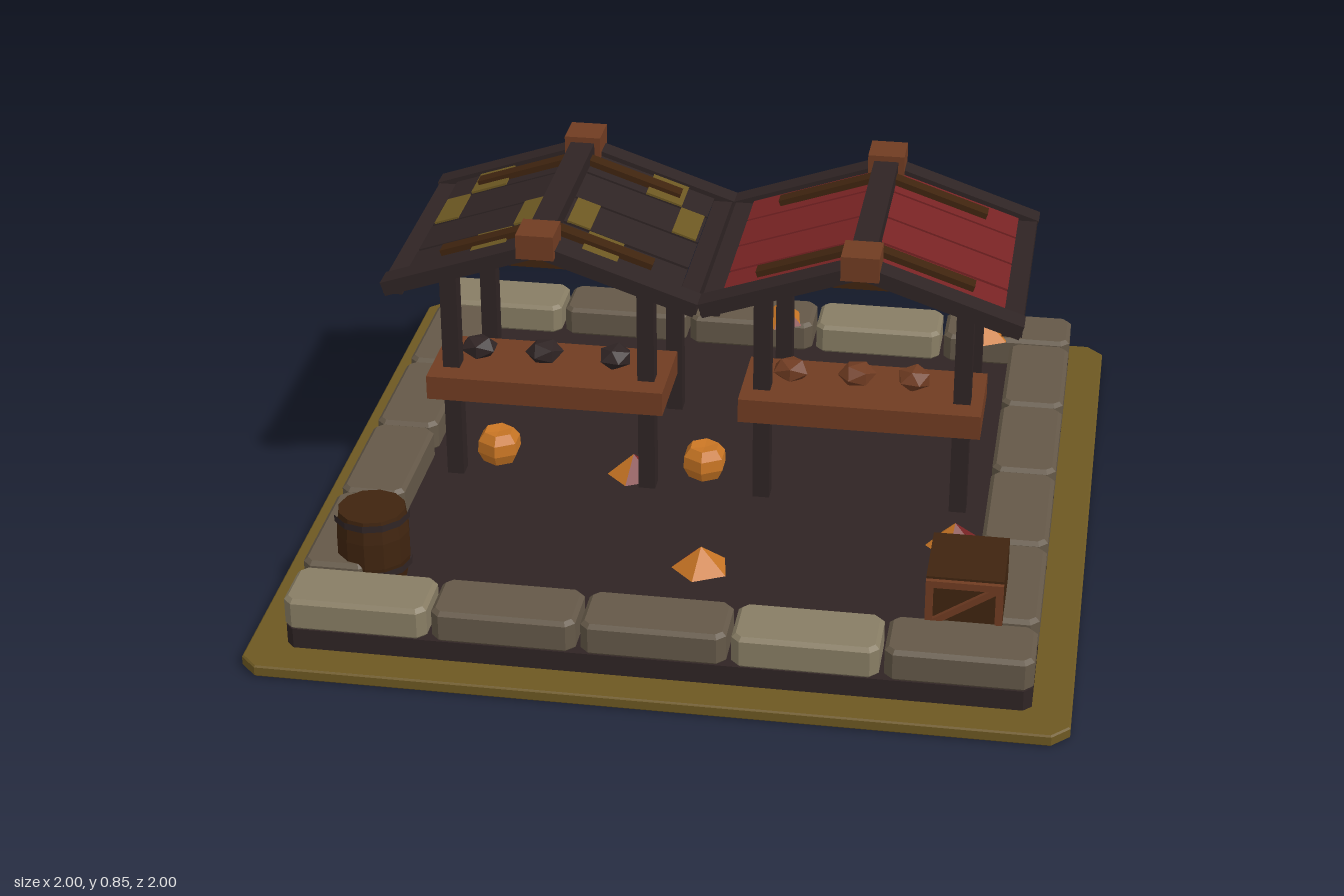
import * as THREE from 'three';

const mat = (name, color) => {
  const m = new THREE.MeshStandardMaterial({ color });
  m.name = name;
  return m;
};

export function createModel() {
  const root = new THREE.Group();
  root.name = 'marketStalls';

  const grass = mat('olive grass', 0x6d5822);
  const dark = mat('dark timber and soil', 0x2f2424);
  const stoneLight = mat('light stone', 0x887d64);
  const stoneDark = mat('dark stone', 0x645848);
  const wood = mat('warm wood', 0x703c22);
  const darkWood = mat('dark brown wood', 0x3f240f);
  const red = mat('red', 0x782324);
  const orange = mat('orange', 0xc87524);

  const add = (parent, name, geo, material, x = 0, y = 0, z = 0) => {
    const m = new THREE.Mesh(geo, material);
    m.name = name;
    m.position.set(x, y, z);
    parent.add(m);
    return m;
  };
  // box given by its limits
  const box = (parent, name, material, x0, x1, y0, y1, z0, z1) =>
    add(parent, name, new THREE.BoxGeometry(x1 - x0, y1 - y0, z1 - z0), material,
      (x0 + x1) / 2, (y0 + y1) / 2, (z0 + z1) / 2);
  const flat = (geo) => {
    const g = geo.index ? geo.toNonIndexed() : geo;
    g.computeVertexNormals();
    return g;
  };
  // slab with cut corners and a small bevel, standing on y = 0
  const slab = (w, d, h, cut, bevel) => {
    const a = w / 2 - bevel, b = d / 2 - bevel;
    const s = new THREE.Shape([
      [a - cut, -b], [a, -b + cut], [a, b - cut], [a - cut, b],
      [-a + cut, b], [-a, b - cut], [-a, -b + cut], [-a + cut, -b],
    ].map(([x, y]) => new THREE.Vector2(x, y)));
    const g = new THREE.ExtrudeGeometry(s, {
      depth: h - 2 * bevel, bevelEnabled: bevel > 0, bevelSegments: 1,
      bevelSize: bevel, bevelThickness: bevel,
    });
    g.translate(0, 0, bevel);
    g.rotateX(-Math.PI / 2);
    return g;
  };

  // ground
  add(root, 'grassBase', slab(2, 2, 0.03, 0.04, 0.004), grass);
  add(root, 'soil', slab(1.81, 1.81, 0.055, 0.02, 0), dark, 0, 0.028, 0);

  // stone border
  for (const z of [-0.825, 0.825]) {
    for (let i = 0; i < 5; i++) {
      add(root, 'borderStone', slab(0.353, 0.165, 0.085, 0.015, 0.01),
        i % 3 === 0 ? stoneLight : stoneDark, -0.73 + i * 0.365, 0.08, z);
    }
  }
  for (const x of [-0.825, 0.825]) {
    for (let i = 0; i < 4; i++) {
      add(root, 'borderStone', slab(0.165, 0.358, 0.085, 0.015, 0.01),
        stoneDark, x, 0.08, -0.549 + i * 0.366);
    }
  }

  // stalls
  const SLOPE = 0.34, ANGLE = Math.atan(SLOPE);
  const planks = [[-0.43, -0.31], [-0.3, -0.15], [-0.14, 0.003], [0.015, 0.13]];
  const buildStall = (name, cx, plankMat, goodsMat, goodsX) => {
    const g = new THREE.Group();
    g.name = name;
    g.position.x = cx;
    root.add(g);

    // pair of pieces lying on both roof slopes, d measured from the ridge
    const onSlope = (part, material, d0, d1, off, thick, z0, z1) => {
      const dm = (d0 + d1) / 2;
      for (const s of [-1, 1]) {
        const m = add(g, part,
          new THREE.BoxGeometry((d1 - d0) / Math.cos(ANGLE), thick, z1 - z0),
          material, s * dm, 0.8 - SLOPE * dm + off, (z0 + z1) / 2);
        m.rotation.z = -s * ANGLE;
      }
    };

    for (const x of [-0.257, 0.257]) {
      for (const z of [-0.363, 0.077]) {
        box(g, 'post', dark, x - 0.022, x + 0.022, 0.08, 0.71, z - 0.023, z + 0.023);
      }
    }
    for (const [z0, z1] of [[-0.49, -0.43], [0.135, 0.2]]) {
      onSlope('rafter', dark, 0, 0.402, 0, 0.038, z0, z1);
    }
    for (const x of [-0.378, 0.378]) {
      box(g, 'eaveBeam', dark, x - 0.025, x + 0.025, 0.648, 0.68, -0.48, 0.19);
    }
    box(g, 'ridgeBeam', dark, -0.032, 0.032, 0.79, 0.835, -0.5, 0.2);
    for (const z of [-0.46, 0.17]) {
      box(g, 'ridgeCap', wood, -0.048, 0.048, 0.785, 0.85, z - 0.05, z + 0.05);
    }
    for (const [z0, z1] of planks) {
      onSlope('roofPlank', plankMat, 0, 0.352, 0, 0.014, z0, z1);
    }
    for (const z of [-0.367, 0.07]) {
      onSlope('roofBatten', darkWood, 0, 0.272, 0.008, 0.03, z - 0.02, z + 0.02);
      box(g, 'tieBeam', darkWood, -0.25, 0.25, 0.7, 0.724, z - 0.018, z + 0.018);
    }

    // counter and goods
    box(g, 'counter', wood, -0.31, 0.31, 0.335, 0.4, -0.08, 0.16);
    goodsX.forEach((x, i) => {
      const lump = add(g, 'goods', new THREE.IcosahedronGeometry(0.052, 0), goodsMat, x, 0.424, 0.018);
      lump.scale.set(1, 0.62, 0.9);
      lump.rotation.y = i * 0.7;
    });
    return onSlope;
  };

  const leftSlope = buildStall('darkStall', -0.41, dark, dark, [-0.2, -0.025, 0.163]);
  buildStall('redStall', 0.406, red, wood, [-0.19, -0.02, 0.128]);

  // mossy patches on the dark roof
  [[0.19, 0.285], [0.285, 0.348], [0.04, 0.1], [0.1, 0.19]].forEach(([d0, d1], i) =>
    leftSlope('mossPatch', grass, d0, d1, 0.0095, 0.006, planks[i][0], planks[i][1]));

  // barrel
  const barrel = new THREE.Group();
  barrel.name = 'barrel';
  barrel.position.set(-0.748, 0.09, 0.63);
  root.add(barrel);
  const profile = [[0, 0], [0.08, 0], [0.092, 0.06], [0.092, 0.13], [0.084, 0.19], [0, 0.19]]
    .map(([x, y]) => new THREE.Vector2(x, y));
  add(barrel, 'barrelBody', flat(new THREE.LatheGeometry(profile, 12)), darkWood);
  for (const y of [0.045, 0.178]) {
    add(barrel, 'barrelHoop', flat(new THREE.CylinderGeometry(0.096, 0.096, 0.018, 12, 1, true)), dark, 0, y, 0);
  }

  // crate with a braced front
  box(root, 'crate', darkWood, 0.635, 0.82, 0.14, 0.28, 0.54, 0.745);
  for (const y of [0.15, 0.265]) box(root, 'crateRail', wood, 0.635, 0.82, y - 0.009, y + 0.009, 0.745, 0.757);
  for (const x of [0.644, 0.811]) box(root, 'cratePost', wood, x - 0.009, x + 0.009, 0.14, 0.274, 0.745, 0.757);
  const brace = box(root, 'crateBrace', wood, 0.635, 0.82, 0.2, 0.216, 0.745, 0.757);
  brace.rotation.z = 0.58;

  // five-sided leaf piles; listed facets are red
  const pile = (x, y, z, r, h, redFacets) => {
    const g = new THREE.Group();
    g.name = 'leafPile';
    root.add(g);
    const step = Math.PI * 2 / 5;
    for (let i = 0; i < 5; i++) {
      add(g, 'leafFacet',
        flat(new THREE.ConeGeometry(r, h, 1, 1, true, -0.157 + i * step, step)),
        redFacets.includes(i) ? red : orange, x, y + h / 2, z);
    }
  };
  pile(0.085, 0.16, -0.78, 0.07, 0.06, [0, 3]);
  pile(0.66, 0.16, -0.77, 0.08, 0.06, [3]);
  pile(0.67, 0.083, 0.265, 0.075, 0.065, [0, 1]);
  pile(0.05, 0.083, 0.47, 0.075, 0.06, [3]);
  pile(-0.2, 0.083, 0.03, 0.07, 0.06, [0, 1]);

  // pumpkins
  const gourd = [[0, 0], [0.045, 0], [0.06, 0.03], [0.058, 0.062], [0.04, 0.085], [0, 0.08]]
    .map(([x, y]) => new THREE.Vector2(x, y));
  for (const x of [-0.57, -0.015]) {
    add(root, 'pumpkin', flat(new THREE.LatheGeometry(gourd, 6)), orange, x, 0.083, 0);
  }

  return root;
}
